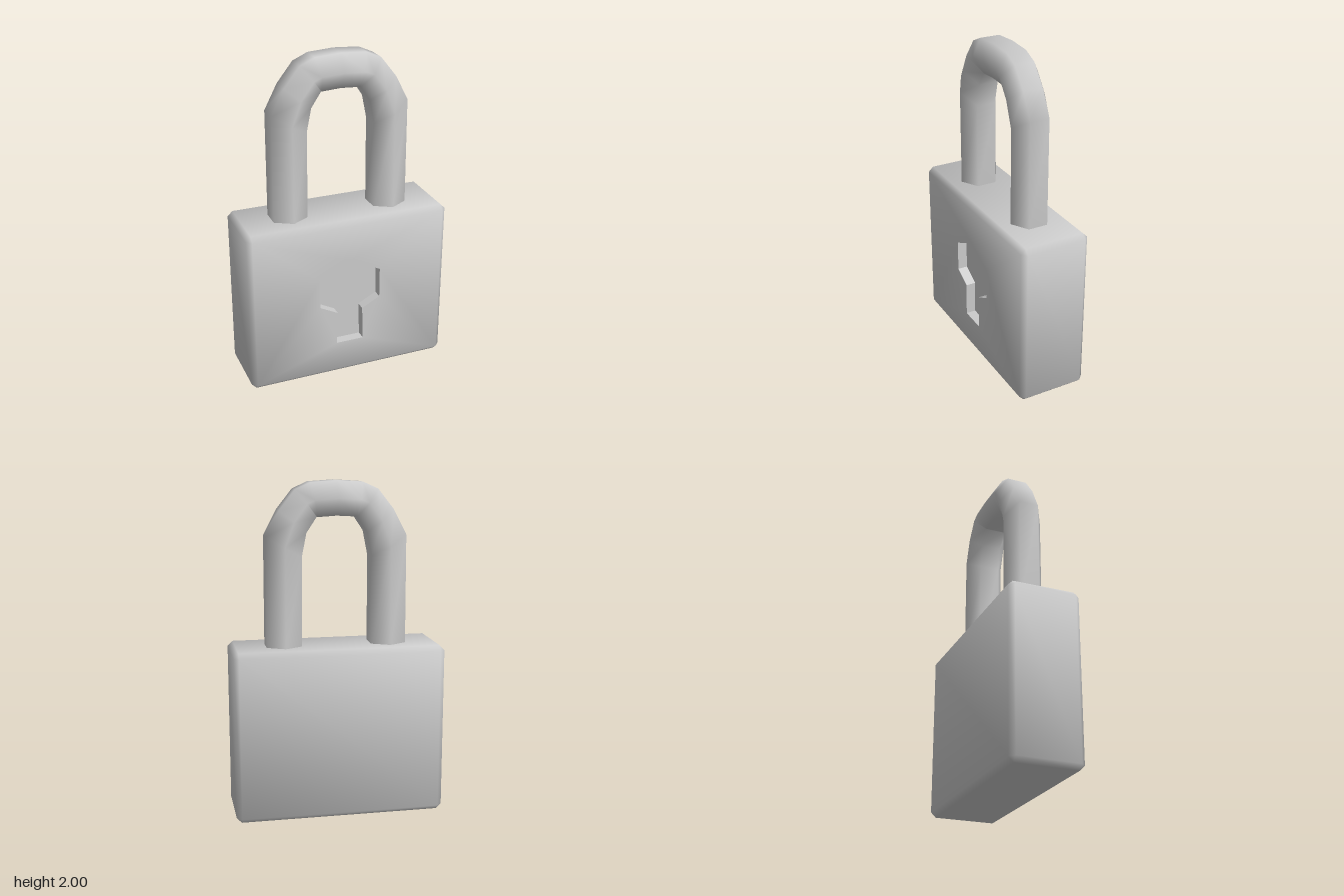
import * as THREE from 'three';

const material = new THREE.MeshStandardMaterial({ color: 0xcccccc });

// Joins equal-length closed rings of [x, y, z] points into a tube of quads.
function loft(rings) {
  const n = rings[0].length;
  const index = [];
  for (let i = 0; i < rings.length - 1; i++) {
    for (let j = 0; j < n; j++) {
      const k = (j + 1) % n;
      const a = i * n + j, b = i * n + k, c = a + n, d = b + n;
      index.push(a, b, d, a, d, c);
    }
  }
  const geometry = new THREE.BufferGeometry();
  geometry.setAttribute('position', new THREE.Float32BufferAttribute(rings.flat(2), 3));
  geometry.setIndex(index);
  geometry.computeVertexNormals();
  return geometry;
}

function part(name, geometry) {
  const mesh = new THREE.Mesh(geometry, material);
  mesh.name = name;
  return mesh;
}

const toShape = (points) => new THREE.Shape(points.map(([x, y]) => new THREE.Vector2(x, y)));

// Body half sizes, chamfer and centre height
const X = 0.63, Y = 0.515, Z = 0.215, C = 0.03;
const KEY_DEPTH = 0.06;

// Soft shading over the chamfers: corner normals lean from their main face.
function softenBody(geometry) {
  const pos = geometry.attributes.position, normal = geometry.attributes.normal;
  const lean = (v, half) => Math.sign(v) * (Math.abs(v) > half - 0.001 ? 1 : 0.39);
  const v = new THREE.Vector3();
  for (let i = 0; i < pos.count; i++) {
    const x = pos.getX(i), y = pos.getY(i), z = pos.getZ(i);
    const onCorner = Math.abs(x) > X - C - 0.001;
    if (onCorner) v.set(lean(x, X), lean(y, Y), lean(z, Z)).normalize();
    else v.set(0, 0, Math.sign(z));
    normal.setXYZ(i, v.x, v.y, v.z);
  }
  return geometry;
}

function createBody() {
  const body = new THREE.Group();
  body.name = 'body';
  body.position.y = Y;

  // Chamfered sides, from the back face to the front face
  const outline = [
    [X, -Y + C], [X, Y - C], [X - C, Y], [-X + C, Y],
    [-X, Y - C], [-X, -Y + C], [-X + C, -Y], [X - C, -Y],
  ];
  const inset = outline.map(([x, y]) => [
    THREE.MathUtils.clamp(x, -X + C, X - C),
    THREE.MathUtils.clamp(y, -Y + C, Y - C),
  ]);
  const at = (ring, z) => ring.map(([x, y]) => [x, y, z]);
  body.add(part('bodySides', softenBody(loft([
    at(inset, -Z), at(outline, -Z + C), at(outline, Z - C), at(inset, Z),
  ]))));

  // Keyhole outline, clockwise from the top
  const keyhole = [
    [0, 0.775], [0.193, 0.68], [0.193, 0.49], [0.08, 0.43], [0.086, 0.218],
    [-0.086, 0.218], [-0.08, 0.43], [-0.193, 0.49], [-0.193, 0.68],
  ].map(([x, y]) => [x, y - Y]);

  // Front face with the keyhole opening, and plain back face
  const w = X - C, h = Y - C;
  const rectangle = [[w, -h], [w, h], [-w, h], [-w, -h]];
  const front = toShape(rectangle);
  front.holes.push(toShape(keyhole));
  const frontGeometry = new THREE.ShapeGeometry(front).translate(0, 0, Z);
  const backGeometry = new THREE.ShapeGeometry(toShape(rectangle)).rotateY(Math.PI).translate(0, 0, -Z);
  body.add(part('frontFace', softenBody(frontGeometry)));
  body.add(part('backFace', softenBody(backGeometry)));

  // Keyhole recess
  const walls = loft([at(keyhole, Z - KEY_DEPTH), at(keyhole, Z)]).toNonIndexed();
  walls.computeVertexNormals();
  body.add(part('keyholeWalls', walls));
  const floor = new THREE.ShapeGeometry(toShape(keyhole)).translate(0, 0, Z - KEY_DEPTH);
  body.add(part('keyholeFloor', floor));
  return body;
}

function createShackle() {
  // Outer and inner edge of each section, from the foot to the crown
  const half = [
    [0.42, 1.0, 0.21, 1.0],
    [0.418, 1.68, 0.208, 1.56],
    [0.34, 1.83, 0.18, 1.7],
    [0.245, 1.95, 0.12, 1.79],
    [0.155, 1.99, 0.115, 1.79],
    [0, 2.0, 0, 1.797],
  ];
  const mirrored = half.slice(0, -1).reverse().map(([ox, oy, ix, iy]) => [-ox, oy, -ix, iy]);

  // Six-sided section spanning each pair of edges
  const rings = [...half, ...mirrored].map(([ox, oy, ix, iy]) => {
    const mx = (ox + ix) / 2, my = (oy + iy) / 2;
    return [
      [ox, oy, 0.06], [ox, oy, -0.06], [mx, my, -0.12],
      [ix, iy, -0.06], [ix, iy, 0.06], [mx, my, 0.12],
    ];
  });
  return part('shackle', loft(rings));
}

export function createModel() {
  const model = new THREE.Group();
  model.name = 'padlock';
  model.add(createBody(), createShackle());
  return model;
}
